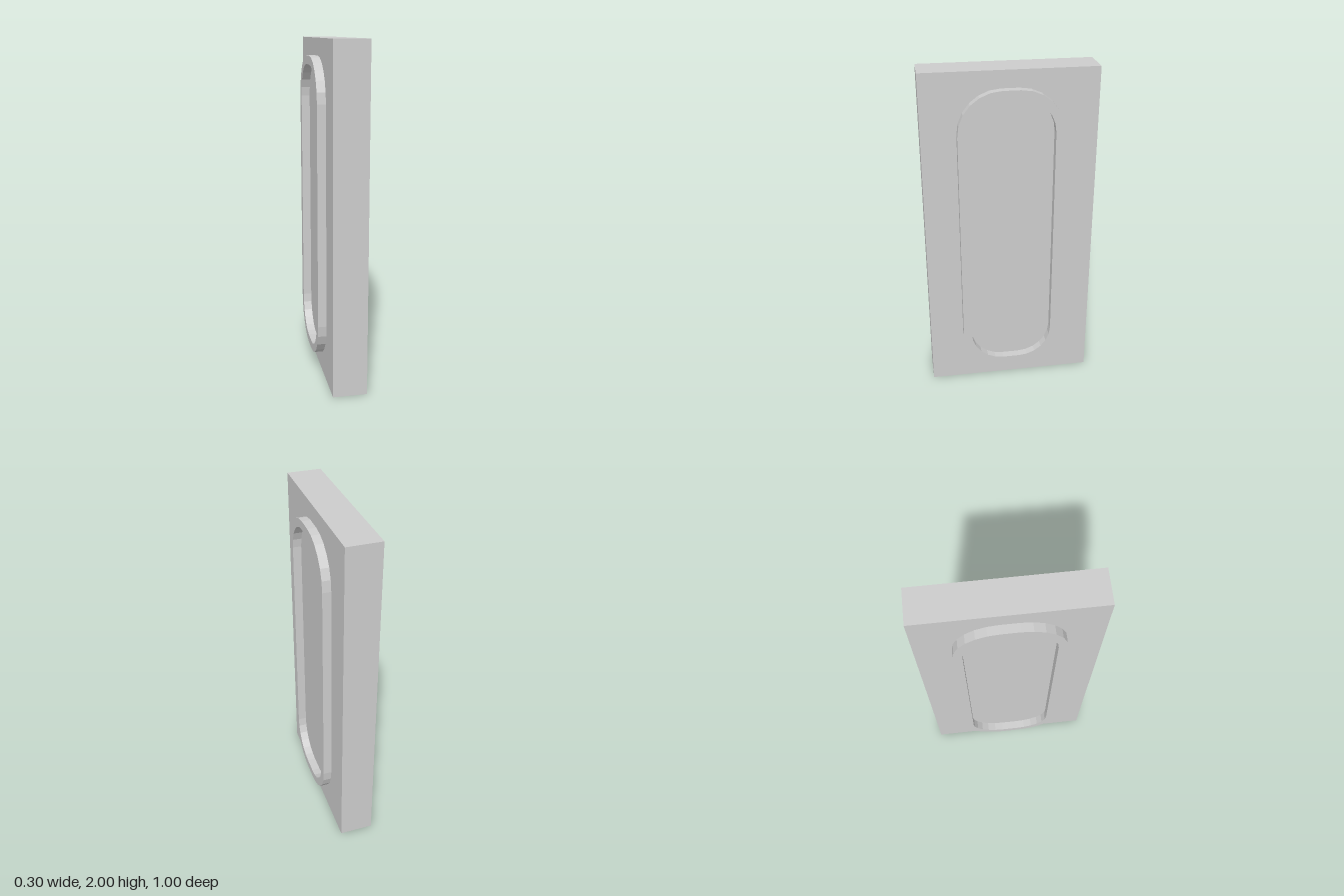
import * as THREE from 'three';

// Traces a rounded rectangle centred on the origin.
function roundedRect(path, halfW, halfH, r) {
  const cx = halfW - r, cy = halfH - r, q = Math.PI / 2;
  [[cx, cy], [-cx, cy], [-cx, -cy], [cx, -cy]].forEach(([x, y], i) =>
    path.absarc(x, y, r, i * q, (i + 1) * q, false));
  path.closePath();
  return path;
}

export function createModel() {
  const group = new THREE.Group();
  const grey = new THREE.MeshStandardMaterial({ color: 0xcccccc });
  grey.name = 'lightGrey';

  // Upright slab
  const slab = new THREE.Mesh(new THREE.BoxGeometry(0.2, 2, 1), grey);
  slab.name = 'slab';
  slab.position.y = 1;
  group.add(slab);

  // Raised rounded frame on each broad face, six facets per corner
  const outline = roundedRect(new THREE.Shape(), 0.3, 0.9, 0.25);
  outline.holes.push(roundedRect(new THREE.Path(), 0.25, 0.85, 0.2));
  const frameGeo = new THREE.ExtrudeGeometry(outline, {
    depth: 0.05, bevelEnabled: false, curveSegments: 3,
  });
  for (const side of [1, -1]) {
    const frame = new THREE.Mesh(frameGeo, grey);
    frame.name = side > 0 ? 'leftFrame' : 'rightFrame';
    frame.rotation.y = side * Math.PI / 2;
    frame.position.set(side * 0.1, 1, 0);
    group.add(frame);
  }
  return group;
}
